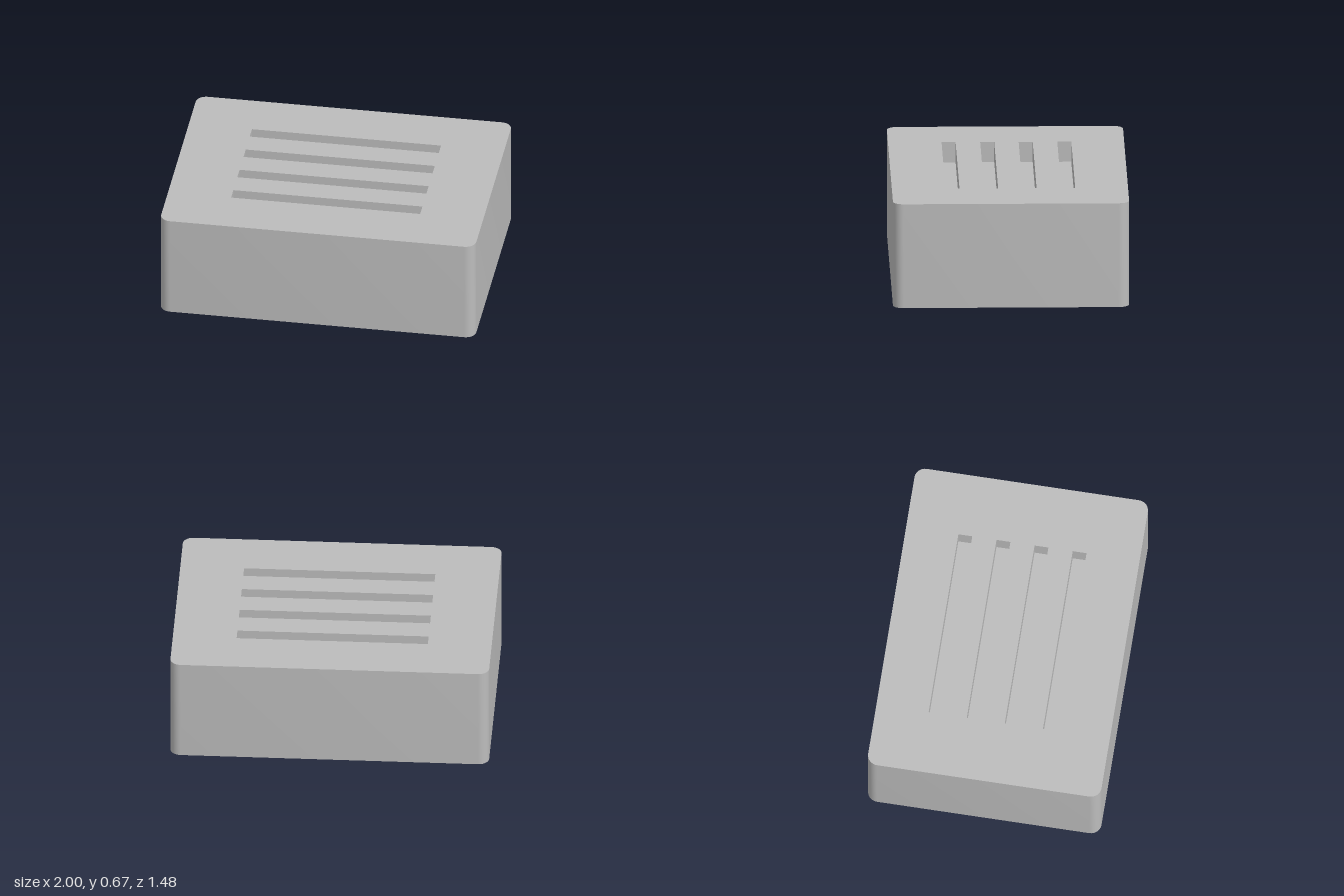
import * as THREE from 'three';
import { toCreasedNormals } from 'three/addons/utils/BufferGeometryUtils.js';

const H = 0.67, HALF_X = 1, HALF_Z = 0.74, R = 0.067;
const SLOT_DEPTH = 0.13, POCKET_DEPTH = 0.34;

const body = new THREE.MeshStandardMaterial({ color: 0xbcbcbc });
body.name = 'casing grey';

// Vertical wall around a closed loop of (x, z) points
function wall(points, y0, y1, inward) {
  const loop = points.slice();
  if (THREE.ShapeUtils.isClockWise(loop) !== inward) loop.reverse();
  const pos = [];
  loop.forEach((a, i) => {
    const b = loop[(i + 1) % loop.length];
    pos.push(a.x, y0, a.y, a.x, y1, a.y, b.x, y1, b.y);
    pos.push(a.x, y0, a.y, b.x, y1, b.y, b.x, y0, b.y);
  });
  const g = new THREE.BufferGeometry();
  g.setAttribute('position', new THREE.Float32BufferAttribute(pos, 3));
  return toCreasedNormals(g, Math.PI / 6);
}

// Flat horizontal face with holes, facing up or down
function face(points, holes, y, up) {
  const flip = (loop) => loop.map((p) => new THREE.Vector2(p.x, up ? -p.y : p.y));
  const shape = new THREE.Shape(flip(points));
  shape.holes = holes.map((h) => new THREE.Path(flip(h)));
  const g = new THREE.ShapeGeometry(shape);
  g.rotateX(up ? -Math.PI / 2 : Math.PI / 2);
  return g.translate(0, y, 0);
}

// Rounded rectangle outline of the block
function outline() {
  const pts = [];
  const n = 8;
  [[1, 1], [-1, 1], [-1, -1], [1, -1]].forEach(([sx, sz], k) => {
    for (let i = 0; i <= n; i++) {
      const a = (k + i / n) * Math.PI / 2;
      pts.push(new THREE.Vector2(sx * (HALF_X - R) + R * Math.cos(a), sz * (HALF_Z - R) + R * Math.sin(a)));
    }
  });
  return pts;
}

const loopOf = (pairs) => pairs.map(([x, z]) => new THREE.Vector2(x, z));

export function createModel() {
  const model = new THREE.Group();
  model.name = 'slottedBlock';
  const add = (parent, name, geometry) => {
    const mesh = new THREE.Mesh(geometry, body);
    mesh.name = name;
    parent.add(mesh);
  };

  // Four long slots across the top
  const slots = [-0.365, -0.123, 0.118, 0.36].map((z) =>
    loopOf([[-0.6, z - 0.044], [0.6, z - 0.044], [0.6, z + 0.044], [-0.6, z + 0.044]]));

  // Two pockets underneath, each with a small tab on its outer edge
  const pockets = [1, -1].map((s) => loopOf([
    [0.475, -0.463], [0.767, -0.463], [0.767, -0.215], [0.693, -0.215],
    [0.693, -0.122], [0.767, -0.122], [0.767, 0.4], [0.475, 0.4],
  ].map(([x, z]) => [s * x, z])));

  // Outer shell
  const edge = outline();
  add(model, 'sideWall', wall(edge, 0, H, false));
  add(model, 'topFace', face(edge, slots, H, true));
  add(model, 'bottomFace', face(edge, pockets, 0, false));

  // Recess walls and floors
  slots.forEach((s) => {
    const slot = new THREE.Group();
    slot.name = 'topSlot';
    add(slot, 'slotWall', wall(s, H - SLOT_DEPTH, H, true));
    add(slot, 'slotFloor', face(s, [], H - SLOT_DEPTH, true));
    model.add(slot);
  });
  pockets.forEach((p, i) => {
    const pocket = new THREE.Group();
    pocket.name = i === 0 ? 'leftPocket' : 'rightPocket';
    add(pocket, 'pocketWall', wall(p, 0, POCKET_DEPTH, true));
    add(pocket, 'pocketCeiling', face(p, [], POCKET_DEPTH, false));
    model.add(pocket);
  });
  return model;
}
